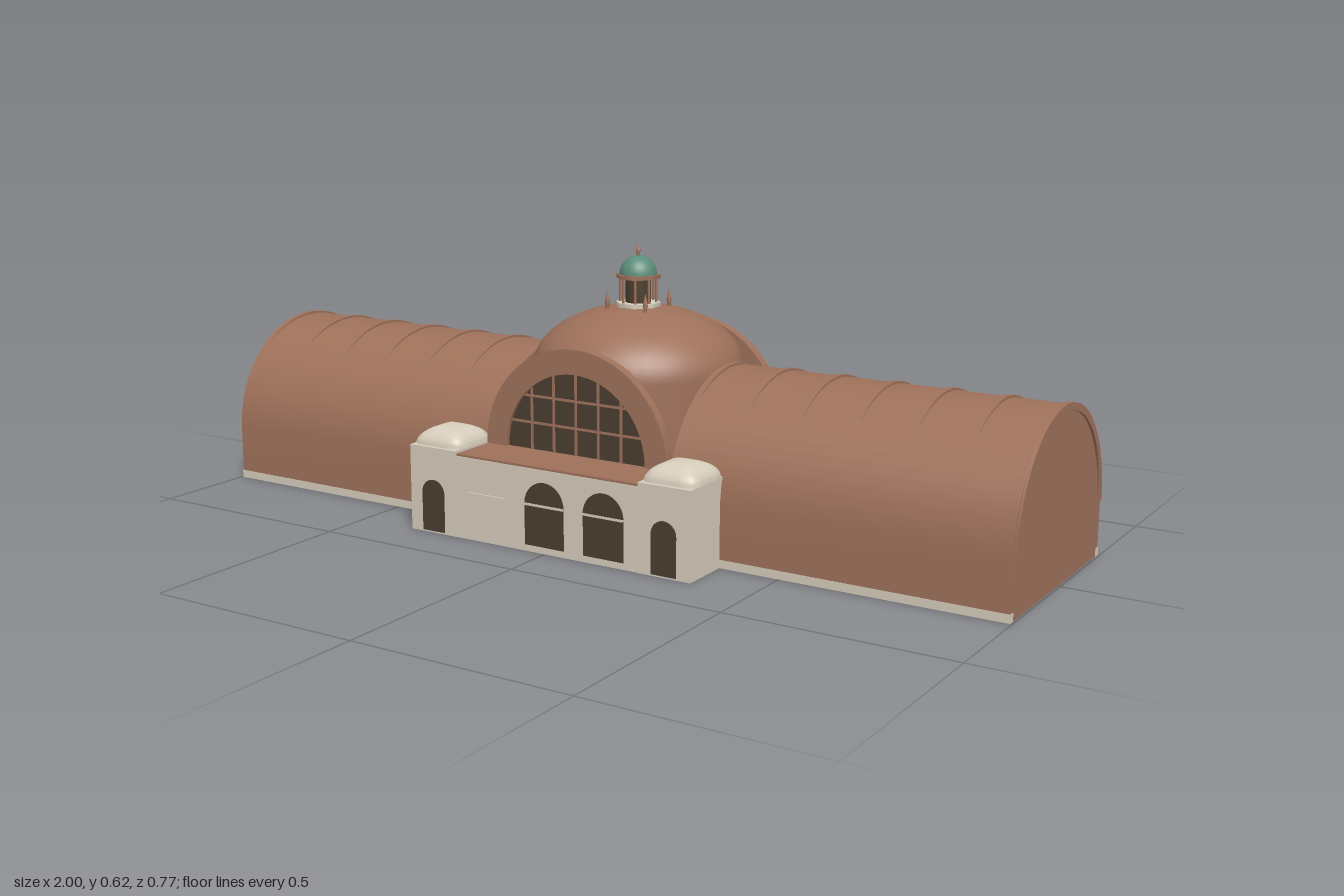
import * as THREE from 'three';
import { toCreasedNormals } from 'three/addons/utils/BufferGeometryUtils.js';

const mat = (name, color) => new THREE.MeshStandardMaterial({ name, color, side: THREE.DoubleSide });
const terracotta = mat('terracotta', 0x9e715a);
const stone = mat('pale stone', 0xd6cdbb);
const glass = mat('dark glass', 0x4b3e2f);
const verdigris = mat('verdigris', 0x5c8d7a);

const CZ = 0.0075; // z of the hall axis and dome

function add(parent, name, geometry, material, x = 0, y = 0, z = 0) {
  const mesh = new THREE.Mesh(geometry, material);
  mesh.name = name;
  mesh.position.set(x, y, z);
  parent.add(mesh);
  return mesh;
}

// Box given by its limits
function block(parent, name, material, [x0, x1], [y0, y1], [z0, z1], open = false) {
  const g = new THREE.BoxGeometry(x1 - x0, y1 - y0, z1 - z0);
  if (open) { // leave out the floor
    const index = Array.from(g.index.array);
    index.splice(18, 6);
    g.setIndex(index);
    g.clearGroups();
  }
  return add(parent, name, g, material, (x0 + x1) / 2, (y0 + y1) / 2, (z0 + z1) / 2);
}

// Half-ellipse on straight legs, from right foot to left foot
function archPoints(rx, ry, yc, foot, n = 32) {
  const pts = [];
  if (foot < yc) pts.push(new THREE.Vector2(rx, foot));
  for (let i = 0; i <= n; i++) {
    const a = (Math.PI * i) / n;
    pts.push(new THREE.Vector2(rx * Math.cos(a), yc + ry * Math.sin(a)));
  }
  if (foot < yc) pts.push(new THREE.Vector2(-rx, foot));
  return pts;
}

// Arch of given depth, solid or with a wall thickness t
function arch(rx, ry, yc, foot, depth, t = 0) {
  const pts = archPoints(rx, ry, yc, foot);
  if (t) pts.push(...archPoints(rx - t, ry - t, yc, foot).reverse());
  const g = new THREE.ExtrudeGeometry(new THREE.Shape(pts), { depth, bevelEnabled: false });
  return toCreasedNormals(g, 0.5);
}

// Barrel-vaulted wing; side is +1 or -1
function wing(side) {
  const g = new THREE.Group();
  g.name = side > 0 ? 'leftWing' : 'rightWing';
  const along = (name, geometry, depth, xMid) => {
    geometry.translate(0, 0, -depth / 2).rotateY(Math.PI / 2);
    add(g, name, geometry, terracotta, side * xMid, 0, CZ);
  };
  along('vault', arch(0.2545, 0.248, 0.125, 0, 0.755, 0.008), 0.755, 0.6125);
  along('endWall', arch(0.2535, 0.247, 0.125, 0, 0.006), 0.006, 0.992);
  for (let i = 0; i < 7; i++) {
    along('rib', arch(0.2475, 0.253, 0.125, 0.125, 0.014, 0.016), 0.014, 0.242 + i * 0.1252);
  }
  const xs = side > 0 ? [0.235, 0.996] : [-0.996, -0.235];
  for (const s of [-1, 1]) {
    const a = CZ + s * 0.2405, b = CZ + s * 0.2555;
    block(g, 'plinth', stone, xs, [0, 0.018], [Math.min(a, b), Math.max(a, b)]);
  }
  return g;
}

// Arched gable with a large half-round window
function gable(z, name) {
  const g = new THREE.Group();
  g.name = name;
  g.position.z = z;
  add(g, 'gableArch', arch(0.235, 0.235, 0.19, 0.19, 0.023, 0.055), terracotta, 0, 0, -0.0115);
  add(g, 'fanWindow', arch(0.181, 0.181, 0.19, 0.19, 0.006), glass, 0, 0, -0.003);
  const bar = (w, h, x, y) => add(g, 'glazingBar', new THREE.BoxGeometry(w, h, 0.012), terracotta, x, y, 0);
  for (let i = -2; i <= 2; i++) {
    const h = Math.sqrt(0.18 ** 2 - (i * 0.058) ** 2);
    bar(0.005, h, i * 0.058, 0.19 + h / 2);
  }
  for (const y of [0.25, 0.31]) bar(2 * Math.sqrt(0.18 ** 2 - (y - 0.19) ** 2), 0.005, 0, y);
  return g;
}

// Square cushion-shaped dome cap
function cushion(hw, h) {
  const g = new THREE.SphereGeometry(1, 32, 10, 0, Math.PI * 2, 0, Math.PI / 2);
  const p = g.attributes.position;
  for (let i = 0; i < p.count; i++) {
    const x = p.getX(i), z = p.getZ(i), r = Math.hypot(x, z);
    const s = r < 1e-6 ? 1 : r / Math.pow(Math.abs(x) ** 7 + Math.abs(z) ** 7, 1 / 7);
    p.setXYZ(i, x * s * hw, p.getY(i) * h, z * s * hw);
  }
  return toCreasedNormals(g, 0.8);
}

const lathe = (pts, n) => new THREE.LatheGeometry(pts.map(([x, y]) => new THREE.Vector2(x, y)), n);
const spire = (r, h) => lathe([[r * 0.7, 0], [r * 0.7, h * 0.3], [r, h * 0.4], [r * 0.75, h * 0.6], [0.0005, h]], 8);

function centralDome() {
  const g = new THREE.Group();
  g.name = 'centralDome';
  g.position.z = CZ;
  add(g, 'drum', new THREE.CylinderGeometry(0.237, 0.237, 0.35, 32, 1, true), terracotta, 0, 0.175);
  const shell = new THREE.SphereGeometry(0.237, 48, 16, 0, Math.PI * 2, 0, Math.PI / 2).scale(1, 0.137 / 0.237, 1);
  add(g, 'domeShell', shell, terracotta, 0, 0.35);

  // Lantern
  const ring = (r, h) => new THREE.CylinderGeometry(r, r, h, 8).rotateY(Math.PI / 8);
  add(g, 'lanternBase', ring(0.051, 0.012), stone, 0, 0.487);
  add(g, 'lanternCore', new THREE.CylinderGeometry(0.029, 0.029, 0.058, 16), glass, 0, 0.52);
  for (let i = 0; i < 8; i++) {
    const a = ((i + 0.5) * Math.PI) / 4;
    add(g, 'lanternColumn', new THREE.CylinderGeometry(0.003, 0.003, 0.058, 8), terracotta,
      0.041 * Math.cos(a), 0.52, 0.041 * Math.sin(a));
  }
  add(g, 'lanternCornice', ring(0.05, 0.009), terracotta, 0, 0.5515);
  add(g, 'lanternDome', new THREE.SphereGeometry(0.042, 24, 12, 0, Math.PI * 2, 0, Math.PI / 2), verdigris, 0, 0.556);
  add(g, 'finial', spire(0.006, 0.027), terracotta, 0, 0.596);
  for (const x of [-0.05, 0.05]) {
    for (const z of [-0.05, 0.05]) add(g, 'pinnacle', spire(0.006, 0.046), terracotta, x, 0.475, z);
  }
  return g;
}

// Thin arched plate for doors and windows
function opening(parent, name, x, y, z, w, h) {
  add(parent, name, arch(w / 2, w / 2, h - w / 2, 0, 0.003), glass, x, y, z);
}

function entrance() {
  const g = new THREE.Group();
  g.name = 'entrance';
  block(g, 'entranceWalls', stone, [-0.235, 0.235], [0, 0.184], [0.245, 0.38], true);
  block(g, 'entranceRoof', terracotta, [-0.234, 0.234], [0.183, 0.189], [0.243, 0.378]);
  for (const x of [0, 0.15]) opening(g, 'archedWindow', x, 0.015, 0.379, 0.1, 0.142);
  for (const x of [-0.15, 0, 0.15]) block(g, 'transom', stone, [x - 0.05, x + 0.05], [0.103, 0.108], [0.378, 0.384]);

  // Corner pavilions
  for (const s of [-1, 1]) {
    const x = s * 0.298;
    block(g, 'pavilion', stone, [x - 0.063, x + 0.063], [0, 0.194], [0.248, 0.381], true);
    add(g, 'pavilionCap', cushion(0.064, 0.04), stone, x, 0.194, 0.308);
    opening(g, 'pavilionDoor', x, 0.004, 0.38, 0.06, 0.117);
  }
  return g;
}

function rearHall() {
  const g = new THREE.Group();
  g.name = 'rearHall';
  block(g, 'rearWalls', stone, [-0.455, 0.455], [0, 0.145], [-0.372, -0.243], true);
  block(g, 'rearRoof', terracotta, [-0.455, 0.455], [0.144, 0.151], [-0.37, -0.24]);
  block(g, 'rearBay', stone, [-0.235, 0.235], [0, 0.145], [-0.383, -0.371], true);
  const coping = new THREE.CylinderGeometry(0.004, 0.004, 0.47, 8).rotateZ(Math.PI / 2);
  add(g, 'coping', coping, stone, 0, 0.147, -0.379);
  return g;
}

export function createModel() {
  const model = new THREE.Group();
  model.name = 'domedHall';
  model.add(wing(1), wing(-1), centralDome());
  model.add(gable(0.2545, 'frontGable'), gable(-0.239, 'rearGable'));
  model.add(entrance(), rearHall());
  return model;
}
